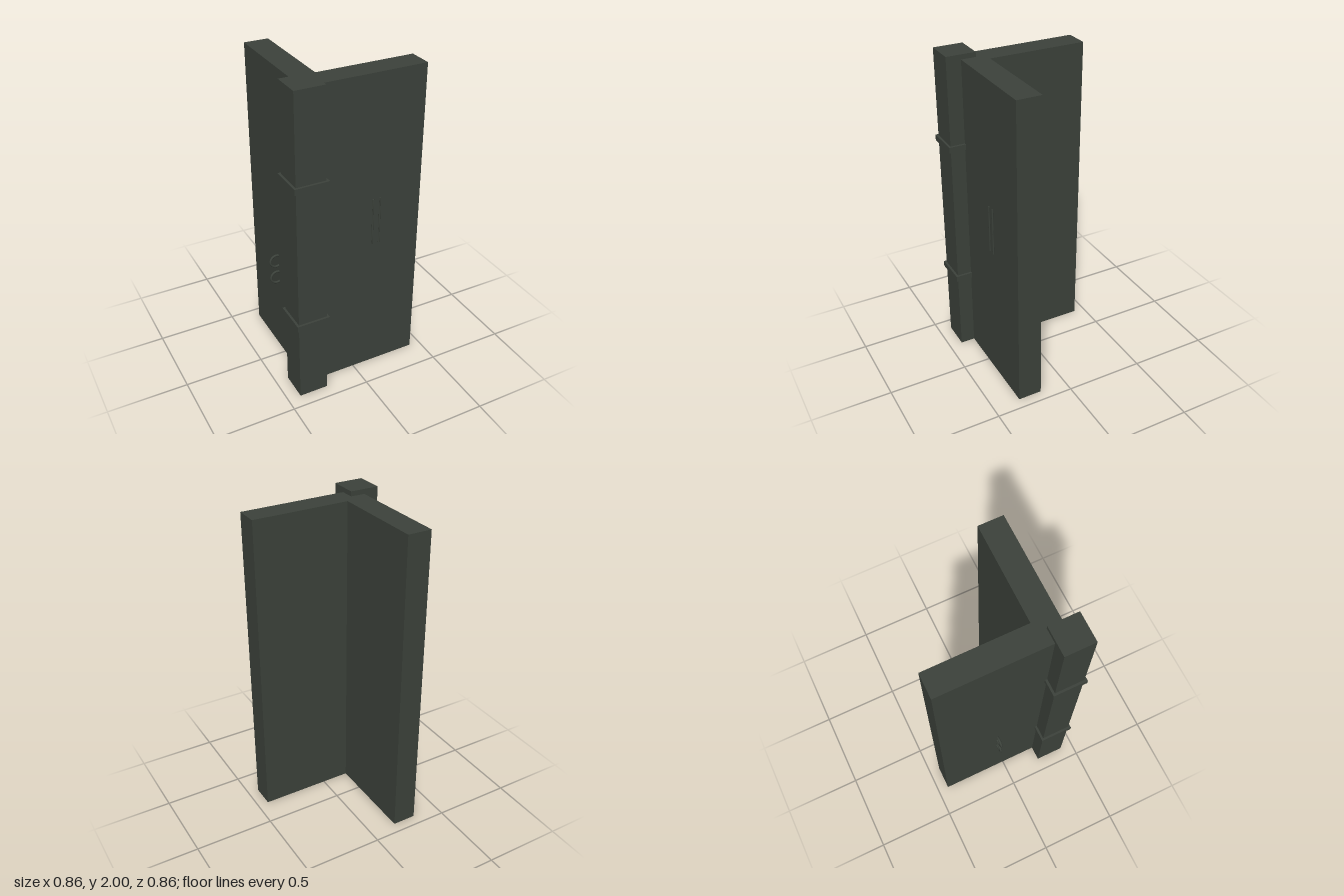
import * as THREE from 'three';

export function createModel() {
  const group = new THREE.Group();
  const stone = new THREE.MeshStandardMaterial({ color: 0x3c423b });
  stone.name = 'dark green grey';

  const add = (name, geometry, x, y, z) => {
    const mesh = new THREE.Mesh(geometry, stone);
    mesh.name = name;
    mesh.position.set(x, y, z);
    group.add(mesh);
  };

  // L-shaped wall, drawn in plan (shape y is -z) and raised
  const plan = new THREE.Shape([
    [-0.325, -0.325], [0.43, -0.325], [0.43, -0.175],
    [-0.175, -0.175], [-0.175, 0.43], [-0.325, 0.43],
  ].map(([x, y]) => new THREE.Vector2(x, y)));
  const wall = new THREE.ExtrudeGeometry(plan, { depth: 1.97, bevelEnabled: false });
  wall.rotateX(-Math.PI / 2);
  add('cornerWall', wall, 0, 0, 0);

  // Square post on the outer corner, with two bands
  add('cornerPost', new THREE.BoxGeometry(0.182, 2, 0.182), -0.326, 1, 0.325);
  for (const y of [0.53, 1.44]) {
    add('postBand', new THREE.BoxGeometry(0.21, 0.036, 0.21), -0.326, y, 0.325);
  }

  // Two upright bars in front of the front wall
  for (const x of [0.105, 0.15]) {
    add('frontBar', new THREE.CylinderGeometry(0.005, 0.005, 0.3, 8), x, 1.06, 0.34);
  }

  // Two rings half sunk in the side wall
  for (const y of [0.57, 0.69]) {
    add('sideRing', new THREE.TorusGeometry(0.04, 0.0075, 8, 24), -0.34, y, -0.054);
  }

  return group;
}
